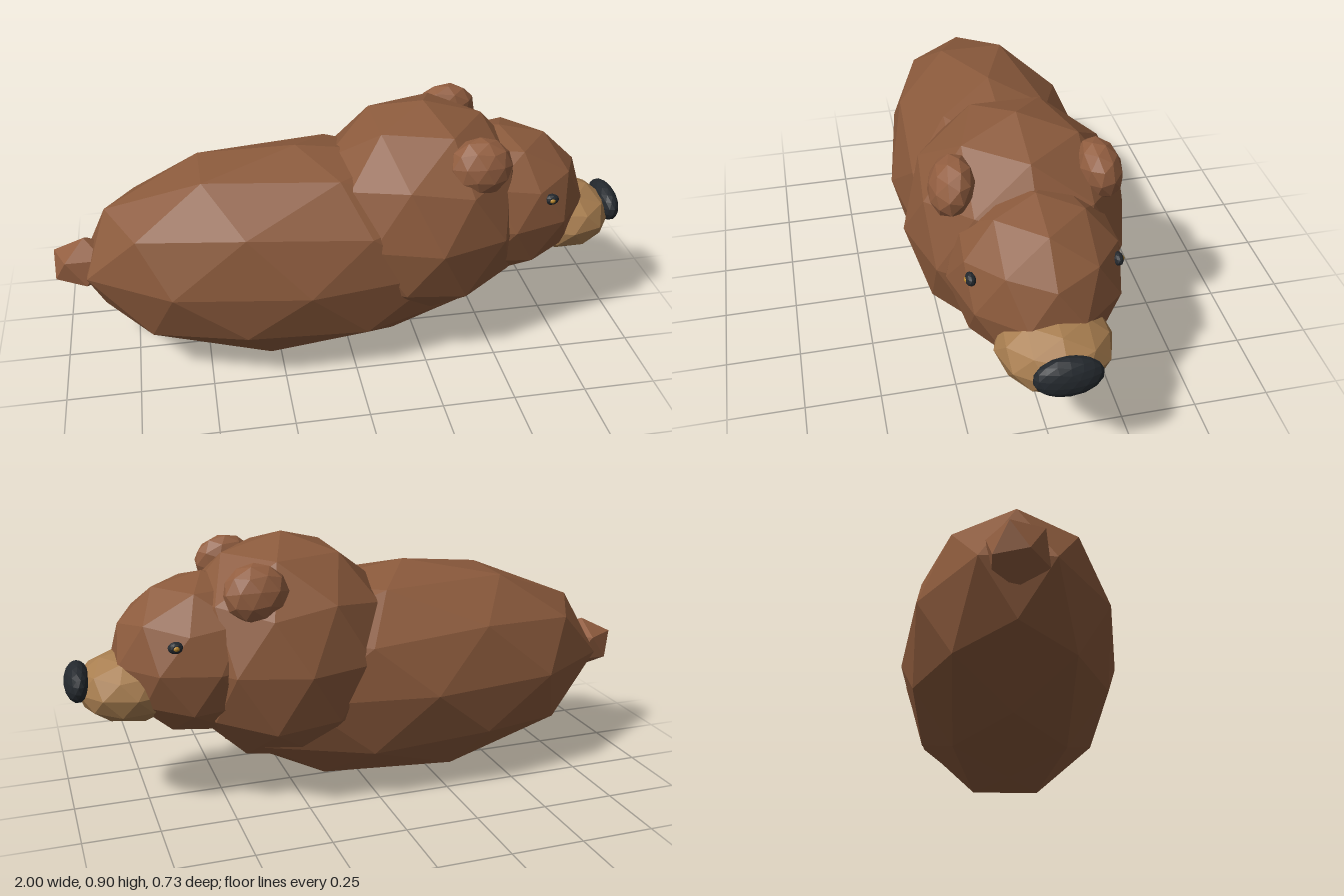
import * as THREE from 'three';

const material = (color) => new THREE.MeshStandardMaterial({ color, flatShading: true });
const fur = material(0x8b5a3c);
const earFur = material(0x925e40);
const tan = material(0xa87e50);
const black = material(0x23282d);
const gold = material(0xb8862b);

// Faceted ellipsoid: an icosphere with a vertex at each vertical pole
function blob(name, mat, center, radii, detail = 1, turn = 0) {
  const geo = new THREE.IcosahedronGeometry(1, detail);
  geo.rotateZ(-Math.atan2(1, (1 + Math.sqrt(5)) / 2));
  geo.rotateY(turn);
  geo.scale(...radii);
  geo.computeVertexNormals();
  const mesh = new THREE.Mesh(geo, mat);
  mesh.name = name;
  mesh.position.set(...center);
  return mesh;
}

export function createModel() {
  const bear = new THREE.Group();
  bear.name = 'bear';

  // Body, shoulders and head overlap along x
  bear.add(
    blob('body', fur, [-0.168, 0.387, 0], [0.76, 0.385, 0.357]),
    blob('neck', fur, [0.265, 0.505, 0], [0.386, 0.395, 0.367]),
    blob('head', fur, [0.536, 0.513, 0], [0.3125, 0.275, 0.275]),
    blob('muzzle', tan, [0.785, 0.425, 0], [0.18, 0.12, 0.18]),
    blob('tail', earFur, [-0.895, 0.39, 0], [0.123, 0.095, 0.1], 0, Math.PI / 2),
  );

  // Nose, tipped slightly forward
  const nose = blob('nose', black, [0.955, 0.453, 0], [0.042, 0.065, 0.105], 2);
  nose.rotation.z = 0.12;
  bear.add(nose);

  // Paired ears and eyes
  for (const [side, s] of [['right', 1], ['left', -1]]) {
    const ear = blob(side + 'Ear', earFur, [0.408, 0.758, s * 0.231], [0.106, 0.096, 0.07]);
    ear.rotation.x = -s * 0.28;
    bear.add(
      ear,
      blob(side + 'Eye', black, [0.665, 0.605, s * 0.222], [0.026, 0.02, 0.017]),
      blob(side + 'EyeGlint', gold, [0.665, 0.605, s * 0.233], [0.011, 0.009, 0.009]),
    );
  }
  return bear;
}
